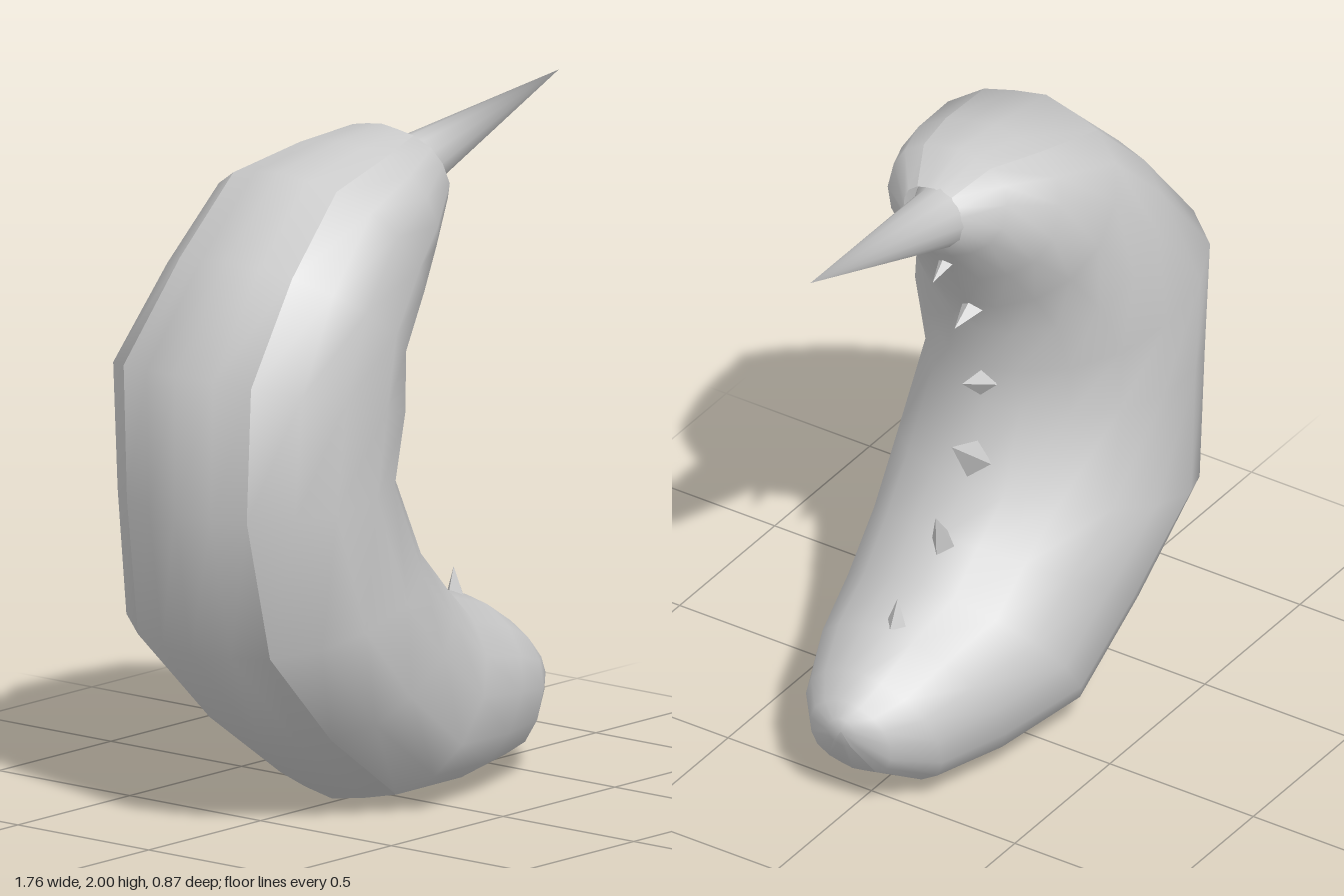
import * as THREE from 'three';
import { mergeVertices } from 'three/addons/utils/BufferGeometryUtils.js';

// Stations along the curl: outer x, outer y, inner x, inner y, half width
const BODY = [
  [0.17, 1.925, 0.19, 1.74, 0.1],
  [0.04, 1.99, 0.17, 1.7, 0.2],
  [-0.15, 1.97, 0.06, 1.56, 0.28],
  [-0.42, 1.925, 0.0, 1.43, 0.34],
  [-0.65, 1.7, -0.07, 1.3, 0.37],
  [-0.885, 1.4, -0.06, 1.18, 0.42],
  [-0.885, 0.98, -0.09, 1.03, 0.395],
  [-0.81, 0.55, 0.01, 0.8, 0.435],
  [-0.5, 0.24, 0.13, 0.69, 0.4],
  [-0.18, 0.015, 0.24, 0.58, 0.38],
  [0.17, 0.005, 0.42, 0.52, 0.31],
  [0.43, 0.03, 0.55, 0.44, 0.23],
  [0.6, 0.14, 0.62, 0.38, 0.14],
  [0.655, 0.25, 0.655, 0.34, 0.05],
  [0.66, 0.3, 0.66, 0.3, 0],
];

// Half sections as [fraction from outer to inner, fraction of half width]
const SIDE = [[0.07, 0.58], [0.18, 0.86], [0.34, 0.99], [0.56, 1], [0.74, 0.86], [0.88, 0.6], [0.97, 0.28]];
const mirror = (half) => half.map(([t, z]) => [t, -z]).reverse();
const BELLY = [...SIDE, [1, 0], ...mirror(SIDE)];
const BACK = [[0.07, -0.58], [0.03, -0.3], [0, 0], [0.03, 0.3], [0.07, 0.58]];
const ROUND = Array.from({ length: 13 }, (_, i) => {
  const a = (i / 12) * Math.PI * 2;
  return [0.5 - 0.5 * Math.cos(a), Math.sin(a)];
});

// Skins a section profile along a list of stations
function loft(stations, profile, zAt = () => 0) {
  const positions = [], index = [], n = profile.length;
  stations.forEach(([ox, oy, ix, iy, w], s) => {
    for (const [t, z] of profile) {
      positions.push(ox + (ix - ox) * t, oy + (iy - oy) * t, z * w + zAt(s));
    }
  });
  for (let s = 0; s < stations.length - 1; s++) {
    for (let p = 0; p < n - 1; p++) {
      const a = s * n + p, b = a + n;
      index.push(a, b, a + 1, a + 1, b, b + 1);
    }
  }
  let geometry = new THREE.BufferGeometry();
  geometry.setAttribute('position', new THREE.Float32BufferAttribute(positions, 3));
  geometry.setIndex(index);
  geometry = mergeVertices(geometry);
  geometry.computeVertexNormals();
  return geometry;
}

export function createModel() {
  const group = new THREE.Group();
  const smooth = new THREE.MeshStandardMaterial({ color: 0xcccccc, side: THREE.DoubleSide });
  const faceted = new THREE.MeshStandardMaterial({ color: 0xcccccc, flatShading: true });
  const add = (name, geometry, material) => {
    const mesh = new THREE.Mesh(geometry, material);
    mesh.name = name;
    group.add(mesh);
    return mesh;
  };

  // Curled body and the shell along its back, meeting at a sharp edge
  add('body', loft(BODY, BELLY), smooth);
  add('backShell', loft(BODY, BACK), smooth);

  // Long horn, from tip to root
  const horn = [
    [0.875, 2, 0.875, 2, 0],
    [0.17, 1.925, 0.19, 1.74, 0.09],
    [0.05, 1.95, 0.12, 1.72, 0.13],
  ];
  add('horn', loft(horn, ROUND, (s) => (s === 0 ? -0.035 : -0.015)), smooth);

  // Row of small spikes on the inner curve: base x, base y, tip x, tip y, radius
  const spikes = [
    [0.11, 1.65, 0.19, 1.61, 0.027],
    [-0.02, 1.41, 0.075, 1.385, 0.035],
    [-0.08, 1.12, 0.035, 1.17, 0.045],
    [-0.03, 0.875, 0.09, 0.98, 0.058],
    [0.13, 0.66, 0.175, 0.78, 0.043],
    [0.38, 0.52, 0.373, 0.61, 0.034],
  ];
  const up = new THREE.Vector3(0, 1, 0);
  for (const [bx, by, tx, ty, r] of spikes) {
    const axis = new THREE.Vector3(tx - bx, ty - by, 0);
    const spike = add('spike', new THREE.ConeGeometry(r, axis.length(), 4), faceted);
    spike.position.set((bx + tx) / 2, (by + ty) / 2, -0.008);
    spike.quaternion.setFromUnitVectors(up, axis.normalize());
  }
  return group;
}
